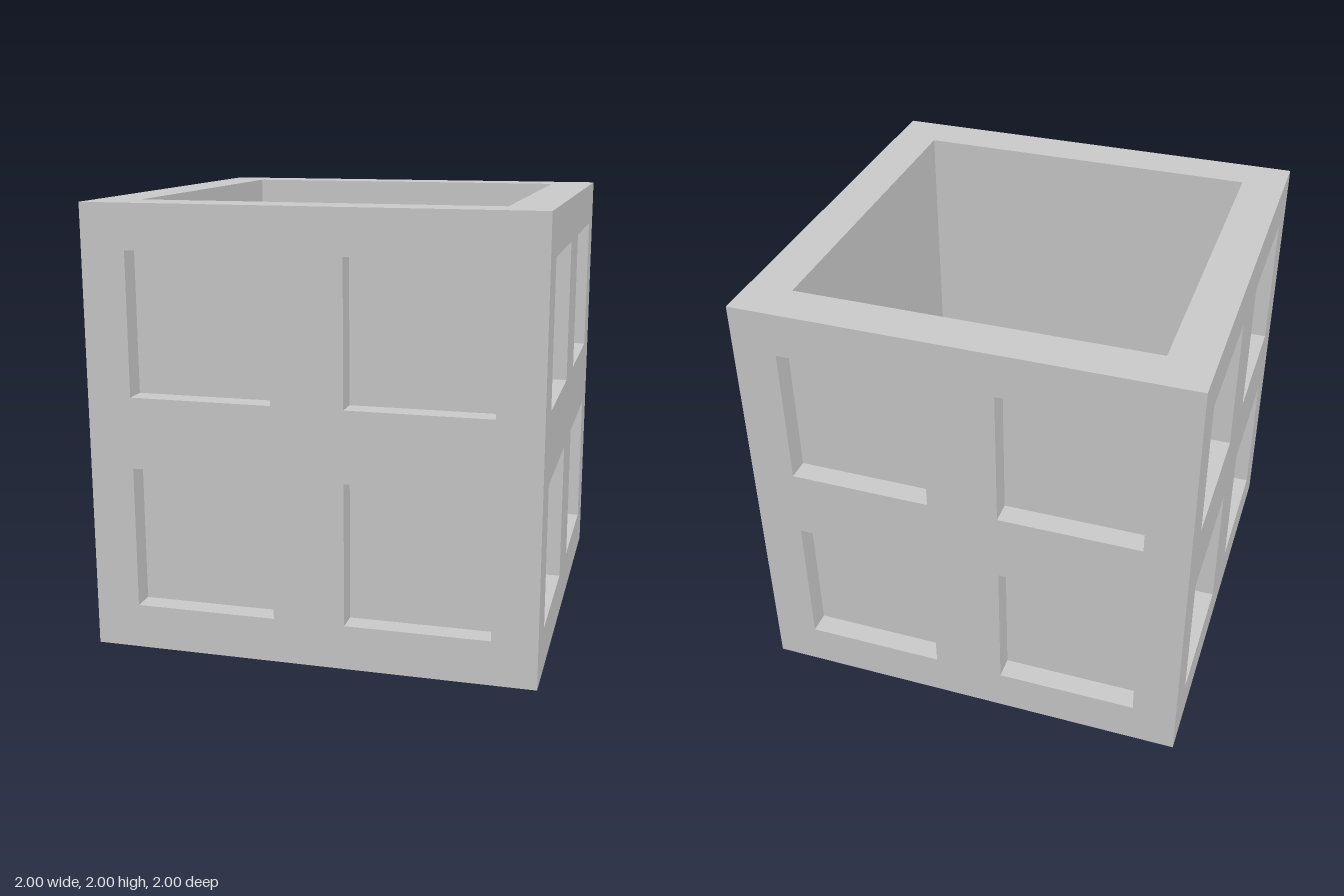
import * as THREE from 'three';
import { mergeGeometries } from 'three/addons/utils/BufferGeometryUtils.js';

const PANE = 0.64;   // side of a square recess
const OFFSET = 0.48; // recess centre from the face centre
const DEPTH = 0.1;   // recess depth
const CAVITY = 1.6;  // width of the open cavity
const FLOOR = 0.2;   // height of the cavity floor

const corners = (cx, cy, s) => [[-1, -1], [1, -1], [1, 1], [-1, 1]]
  .map(([x, y]) => new THREE.Vector2(cx + x * s / 2, cy + y * s / 2));

// Square sheet facing +z with square holes, each hole given as [x, y, side]
function sheet(size, holes) {
  const shape = new THREE.Shape(corners(0, 0, size));
  for (const [x, y, s] of holes) shape.holes.push(new THREE.Path(corners(x, y, s).reverse()));
  return new THREE.ShapeGeometry(shape);
}

// Four inward-facing sides of a square pocket sunk from z = 0 to z = -depth
function pocketSides(size, depth) {
  const sides = [];
  for (let k = 0; k < 4; k++) {
    sides.push(new THREE.PlaneGeometry(size, depth)
      .rotateX(-Math.PI / 2)
      .translate(0, -size / 2, -depth / 2)
      .rotateZ(k * Math.PI / 2));
  }
  return sides;
}

// Square face with a two by two pattern of shallow recesses
function recessedFace(size) {
  const centres = [];
  for (const x of [-OFFSET, OFFSET]) for (const y of [-OFFSET, OFFSET]) centres.push([x, y]);
  const parts = [sheet(size, centres.map(([x, y]) => [x, y, PANE]))];
  for (const [x, y] of centres) {
    const pocket = [...pocketSides(PANE, DEPTH), new THREE.PlaneGeometry(PANE, PANE).translate(0, 0, -DEPTH)];
    parts.push(...pocket.map((g) => g.translate(x, y, 0)));
  }
  return mergeGeometries(parts);
}

export function createModel() {
  const model = new THREE.Group();
  model.name = 'openBox';
  const material = new THREE.MeshStandardMaterial({ color: 0xcccccc, flatShading: true });
  const add = (name, geometry) => {
    const mesh = new THREE.Mesh(geometry, material);
    mesh.name = name;
    model.add(mesh);
  };

  // Outer walls
  ['frontWall', 'leftWall', 'backWall', 'rightWall'].forEach((name, k) => {
    add(name, recessedFace(2).translate(0, 0, 1).rotateY(k * Math.PI / 2).translate(0, 1, 0));
  });

  // Underside
  add('underside', recessedFace(2).rotateX(Math.PI / 2));

  // Top rim around the opening
  add('rim', sheet(2, [[0, 0, CAVITY]]).rotateX(-Math.PI / 2).translate(0, 2, 0));

  // Plain inner walls and recessed inner floor
  add('innerWalls', mergeGeometries(pocketSides(CAVITY, 2 - FLOOR)).rotateX(-Math.PI / 2).translate(0, 2, 0));
  add('innerFloor', recessedFace(CAVITY).rotateX(-Math.PI / 2).translate(0, FLOOR, 0));

  return model;
}
